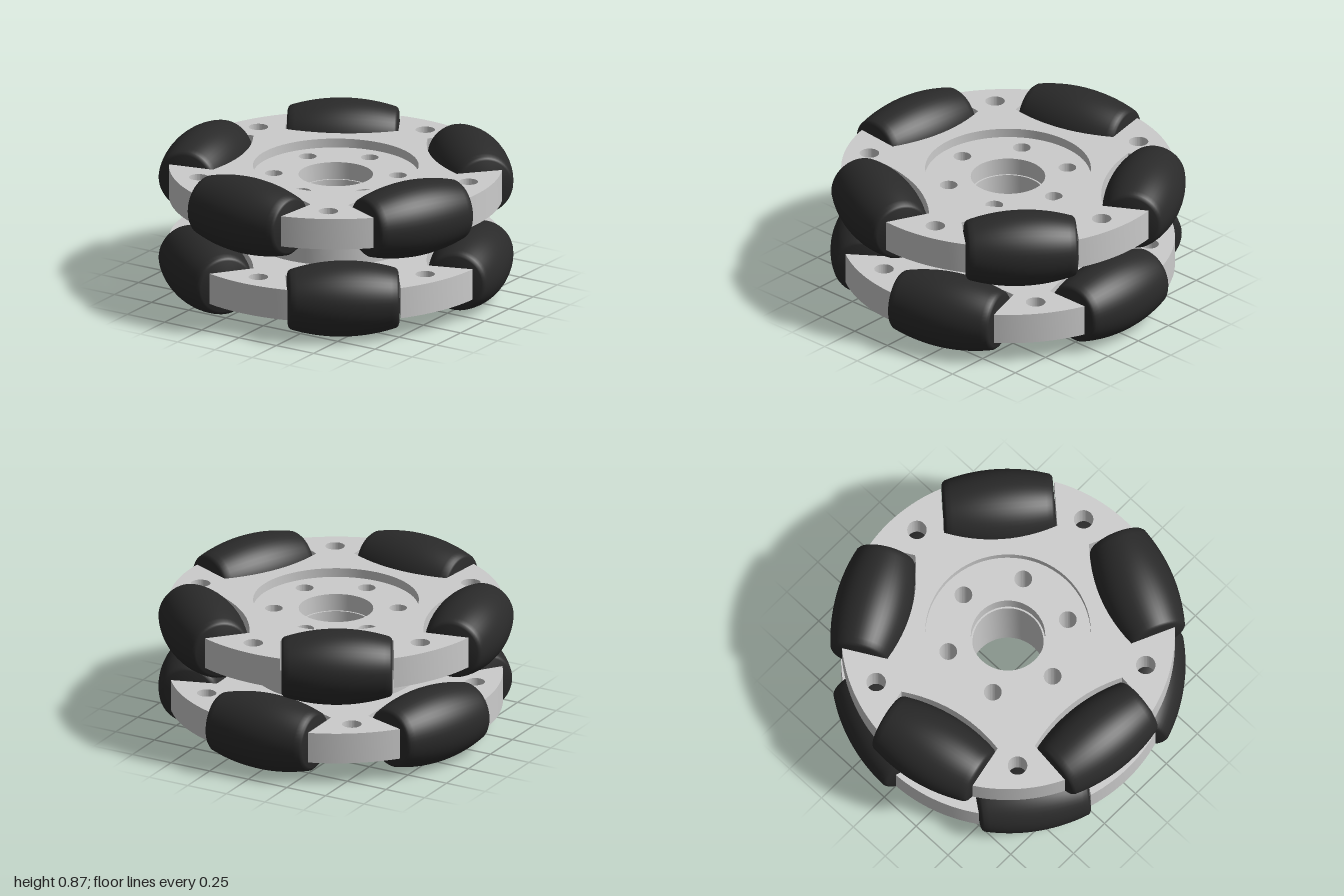
import * as THREE from 'three';
import { toCreasedNormals } from 'three/addons/utils/BufferGeometryUtils.js';

const STEP = (2 * Math.PI) / 5;
const PLATE_R = 0.94, PLATE_T = 0.18;
const POCKET_W = 0.32, POCKET_END = 0.62, POCKET_MID = 0.56;
const HUB_R = 0.467, ROLLER_RING = 0.785, ROLLER_HALF = 0.312;

const metal = new THREE.MeshStandardMaterial({ color: 0xcccccc });
const rubber = new THREE.MeshStandardMaterial({ color: 0x2a2a2a });

// Shape point at angle a (measured from the front), distance r outward, t sideways
const at = (a, r, t = 0) => new THREE.Vector2(
  r * Math.sin(a) + t * Math.cos(a), -r * Math.cos(a) + t * Math.sin(a));

function circleHole(shape, c, r) {
  shape.holes.push(new THREE.Path().absarc(c.x, c.y, r, 0, Math.PI * 2, true));
}

// Extrude a plan-view shape upward from y
function slab(name, shape, y, height) {
  const geo = new THREE.ExtrudeGeometry(shape, { depth: height, bevelEnabled: false, curveSegments: 32 });
  geo.rotateX(-Math.PI / 2);
  const mesh = new THREE.Mesh(toCreasedNormals(geo, 0.6), metal);
  mesh.name = name;
  mesh.position.y = y;
  return mesh;
}

// Ring plate with five roller pockets and five holes in the tabs
function plateShape() {
  const pts = [];
  const half = Math.asin(POCKET_W / PLATE_R);
  for (let k = 0; k < 5; k++) {
    const a = k * STEP;
    pts.push(at(a - half, PLATE_R));
    for (let i = 0; i <= 12; i++) {
      const s = i / 6 - 1;
      pts.push(at(a, POCKET_MID + (POCKET_END - POCKET_MID) * s * s, s * POCKET_W));
    }
    for (let i = 0; i < 14; i++) pts.push(at(a + half + (STEP - 2 * half) * i / 14, PLATE_R));
  }
  const shape = new THREE.Shape(pts);
  circleHole(shape, new THREE.Vector2(0, 0), HUB_R);
  for (let k = 0; k < 5; k++) circleHole(shape, at((k + 0.5) * STEP, 0.8), 0.055);
  return shape;
}

// Barrel roller whose flank follows the wheel's outer circle
function rollerGeometry() {
  const radius = (x) => Math.sqrt(1 - x * x) - ROLLER_RING;
  const h = ROLLER_HALF, f = 0.015;
  const pts = [new THREE.Vector2(0, -h), new THREE.Vector2(radius(h) - f, -h),
    new THREE.Vector2(radius(h) - 0.3 * f, -h + 0.3 * f)];
  for (let i = 0; i <= 20; i++) {
    const x = (h - f) * (i / 10 - 1);
    pts.push(new THREE.Vector2(radius(x), x));
  }
  pts.push(new THREE.Vector2(radius(h) - 0.3 * f, h - 0.3 * f),
    new THREE.Vector2(radius(h) - f, h), new THREE.Vector2(0, h));
  const geo = toCreasedNormals(new THREE.LatheGeometry(pts, 48), 0.7);
  return geo.rotateZ(Math.PI / 2);
}

export function createModel() {
  const model = new THREE.Group();
  model.name = 'omniWheel';
  const roller = rollerGeometry();

  // Two staggered rows, each a plate carrying five rollers
  const rows = [['lower', 0.2175, 36], ['upper', 0.6525, -6]];
  for (const [name, y, degrees] of rows) {
    const row = new THREE.Group();
    row.name = name + 'Row';
    row.position.y = y;
    row.rotation.y = THREE.MathUtils.degToRad(degrees);
    row.add(slab(name + 'Plate', plateShape(), -PLATE_T / 2, PLATE_T));
    for (let k = 0; k < 5; k++) {
      const a = k * STEP;
      const mesh = new THREE.Mesh(roller, rubber);
      mesh.name = name + 'Roller' + (k + 1);
      mesh.rotation.y = a;
      mesh.position.set(Math.sin(a) * ROLLER_RING, 0, Math.cos(a) * ROLLER_RING);
      row.add(mesh);
    }
    model.add(row);
  }

  // Hub: recessed in the upper plate, proud of the lower one
  const hub = new THREE.Shape().absarc(0, 0, HUB_R, 0, Math.PI * 2);
  circleHole(hub, new THREE.Vector2(0, 0), 0.21);
  for (let k = 0; k < 6; k++) circleHole(hub, at(k * Math.PI / 3, 0.35), 0.05);
  model.add(slab('hub', hub, 0.08, 0.61));

  // Slightly narrower collar inside the bore
  const collar = new THREE.Shape().absarc(0, 0, 0.21, 0, Math.PI * 2);
  circleHole(collar, new THREE.Vector2(0, 0), 0.2);
  model.add(slab('boreCollar', collar, 0.15, 0.44));

  return model;
}
